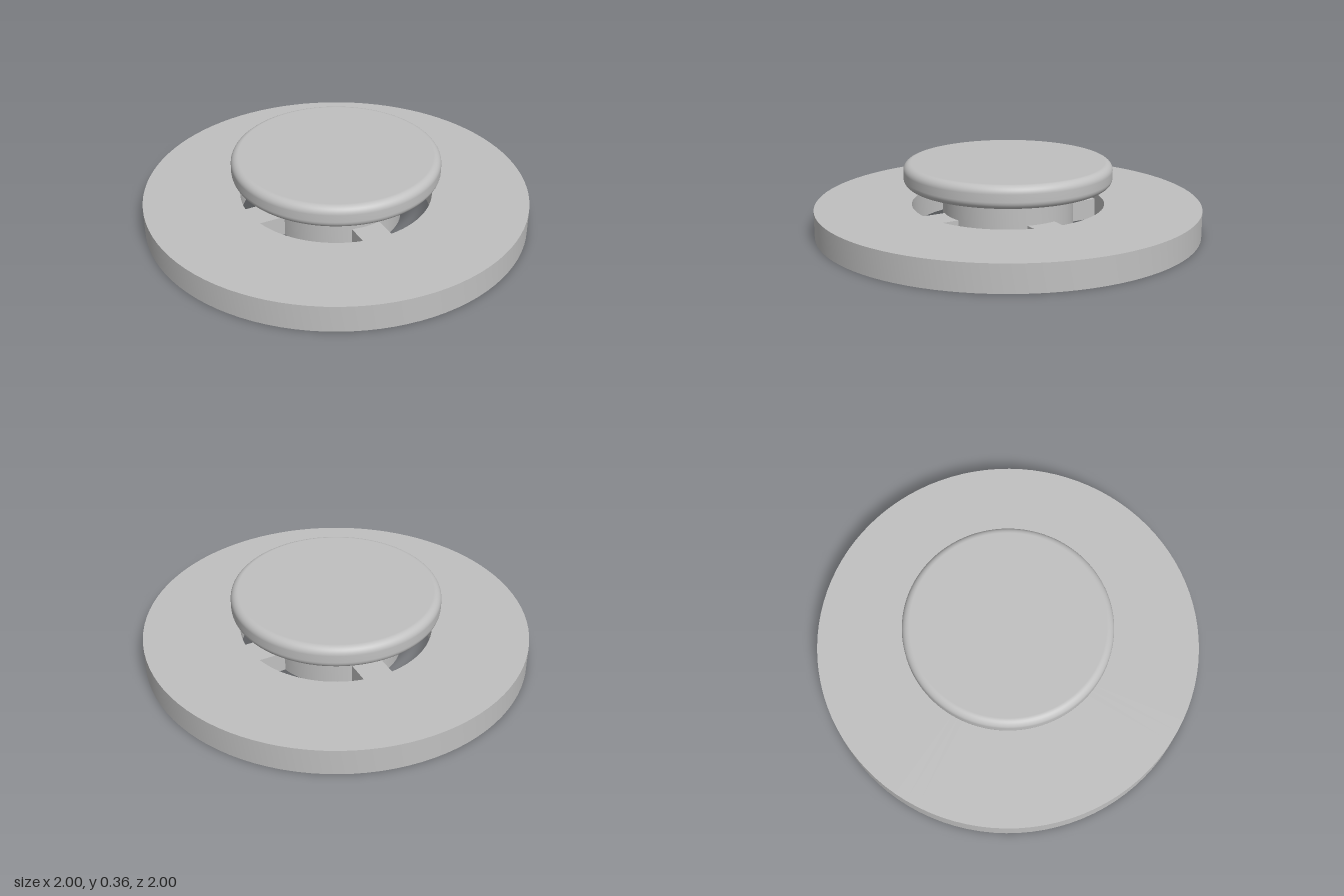
import * as THREE from 'three';
import { toCreasedNormals } from 'three/addons/utils/BufferGeometryUtils.js';

const SEGMENTS = 96;
const RING_INNER = 0.5;
const HUB_RADIUS = 0.34;
const WEB_HEIGHT = 0.107;

export function createModel() {
  const model = new THREE.Group();
  model.name = 'cappedDisc';

  const grey = new THREE.MeshStandardMaterial({ color: 0xc0c0c0 });
  grey.name = 'light grey';

  const add = (name, geometry) => {
    const mesh = new THREE.Mesh(geometry, grey);
    mesh.name = name;
    model.add(mesh);
    return mesh;
  };

  // Turned parts: profile of [radius, height], running bottom, outside, top
  const turned = (profile) => toCreasedNormals(
    new THREE.LatheGeometry(profile.map(([r, y]) => new THREE.Vector2(r, y)), SEGMENTS), 0.6);

  // Wide base ring, open in the middle
  add('baseRing', turned([
    [RING_INNER, 0], [1, 0], [1, 0.14], [RING_INNER, 0.14], [RING_INNER, 0],
  ]));

  // Hub with a blind socket underneath
  add('hub', turned([
    [0, WEB_HEIGHT], [0.197, WEB_HEIGHT], [0.197, 0],
    [HUB_RADIUS, 0], [HUB_RADIUS, 0.236], [0, 0.236],
  ]));

  // Four spokes joining hub and ring, sunk slightly into both
  const start = HUB_RADIUS - 0.02;
  const length = RING_INNER + 0.01 - start;
  for (let i = 0; i < 4; i++) {
    const geometry = new THREE.BoxGeometry(length, WEB_HEIGHT, 0.155);
    geometry.translate(start + length / 2, WEB_HEIGHT / 2, 0);
    add('spoke' + (i + 1), geometry).rotation.y = i * Math.PI / 2;
  }

  // Short neck between hub and cap
  add('neck', new THREE.CylinderGeometry(0.16, 0.16, 0.04, SEGMENTS)).position.y = 0.24;

  // Round cap with softened edges
  const radius = 0.54, bottom = 0.244, top = 0.362, fillet = 0.04;
  const capProfile = [new THREE.Vector2(0, bottom)];
  const corner = (y, from) => {
    for (let i = 0; i <= 8; i++) {
      const a = from + (i / 8) * Math.PI / 2;
      capProfile.push(new THREE.Vector2(
        radius - fillet + fillet * Math.cos(a), y + fillet * Math.sin(a)));
    }
  };
  corner(bottom + fillet, -Math.PI / 2);
  corner(top - fillet, 0);
  capProfile.push(new THREE.Vector2(0, top));
  add('cap', new THREE.LatheGeometry(capProfile, SEGMENTS));

  return model;
}
